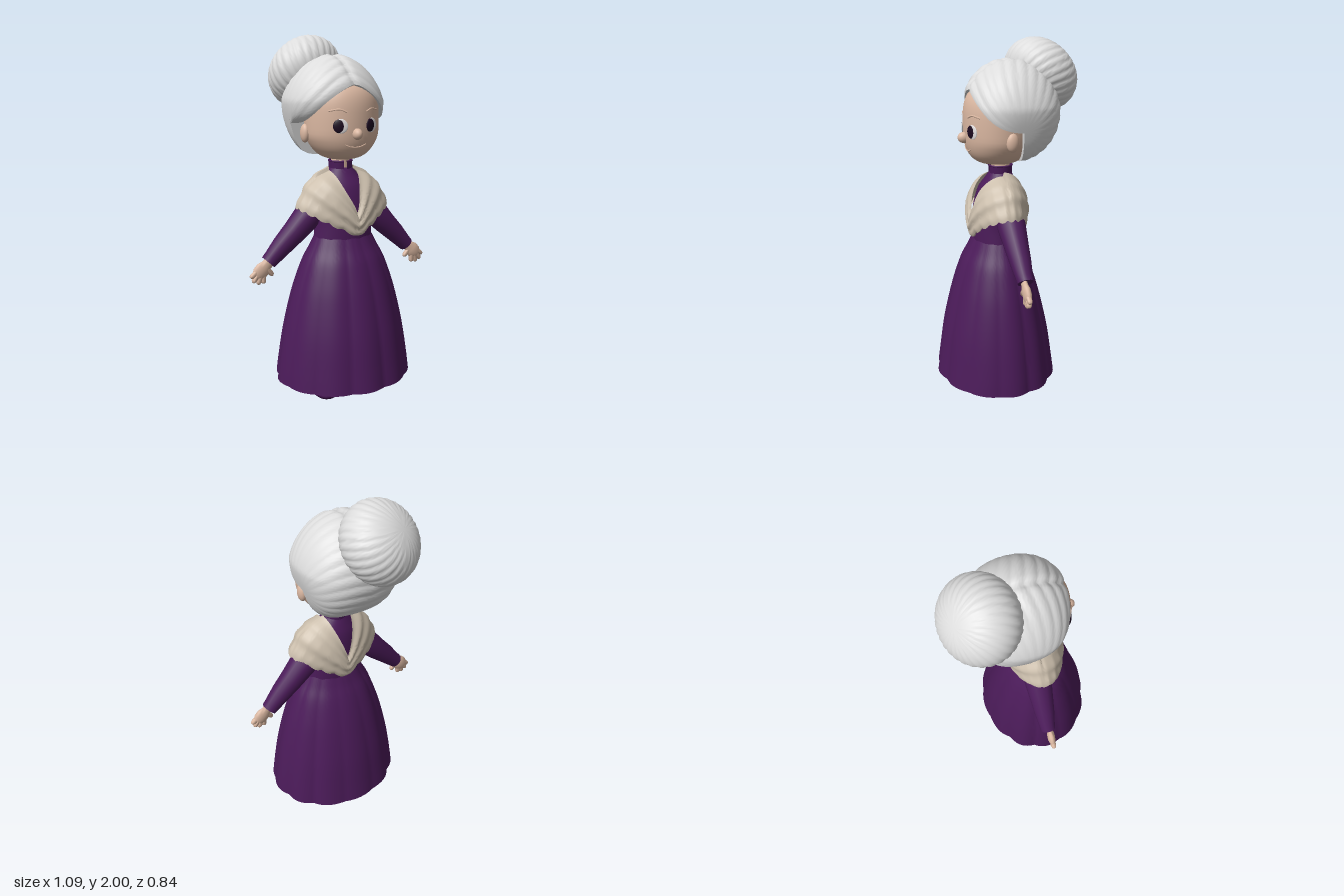
import * as THREE from 'three';
import { toCreasedNormals } from 'three/addons/utils/BufferGeometryUtils.js';

const { sin, cos, abs, pow, max, min, sqrt, exp, sign, PI } = Math;
const mat = (name, color, side = THREE.FrontSide) => {
  const m = new THREE.MeshStandardMaterial({ color, side });
  m.name = name;
  return m;
};
const V = (x, y, z) => new THREE.Vector3(x, y, z);
const lerp = THREE.MathUtils.lerp;

// Surface from cross-sections: fn(u, v) gives a point, u runs round, v runs along
function grid(nu, nv, fn, crease = 0.9) {
  const pos = [], idx = [];
  for (let j = 0; j <= nv; j++)
    for (let i = 0; i <= nu; i++) pos.push(...fn(i / nu, j / nv, j));
  for (let j = 0; j < nv; j++)
    for (let i = 0; i < nu; i++) {
      const a = j * (nu + 1) + i, b = a + nu + 1;
      idx.push(a, a + 1, b, a + 1, b + 1, b);
    }
  const g = new THREE.BufferGeometry();
  g.setAttribute('position', new THREE.Float32BufferAttribute(pos, 3));
  g.setIndex(idx);
  return toCreasedNormals(g, crease);
}

// Smooth interpolation down a list of rows [y, rx, rz, cz]
function profile(rows) {
  const n = rows.length - 1;
  const a = new THREE.CatmullRomCurve3(rows.map(r => V(r[0], r[1], r[2])));
  return t => {
    const p = a.getPoint(t), f = min(t * n, n - 1e-6), i = Math.floor(f);
    return [p.x, p.y, p.z, lerp(rows[i][3], rows[i + 1][3], f - i)];
  };
}

// Tapered limb through points [x, y, z, radius], flattened in z
function limb(pts, flat = 1) {
  const a = pts[0], b = pts[pts.length - 1];
  const t = V(b[0] - a[0], b[1] - a[1], 0).normalize();
  const rows = [[...a.slice(0, 3), 0], ...pts, [...b.slice(0, 3), 0]];
  return grid(16, rows.length - 1, (u, v, j) => {
    const [x, y, z, r] = rows[j], q = u * 2 * PI;
    return [x - t.y * r * cos(q), y + t.x * r * cos(q), z + r * flat * sin(q)];
  });
}

// Face: boxy egg, narrower at the chin
const faceWidth = yn => 0.205 * (1 - 0.25 * max(0, -yn - 0.4));
const facePoint = (u, v) => {
  const f = (v - 0.5) * PI, q = u * 2 * PI, r = pow(max(0, cos(f)), 0.65);
  const yn = sign(f) * pow(abs(sin(f)), 0.65);
  return [faceWidth(yn) * r * sin(q), 1.56 + 0.215 * yn, 0.06 + 0.185 * r * cos(q)];
};
const faceZ = (x, y) => {
  const yn = (y - 1.56) / 0.215, s = pow(abs(yn), 1 / 0.65);
  const r = pow(sqrt(1 - s * s), 0.65);
  return 0.06 + 0.185 * r * sqrt(1 - pow(x / (faceWidth(yn) * r), 2));
};

export function createModel() {
  const model = new THREE.Group();
  model.name = 'grandmother';
  const purple = mat('dressPurple', 0x4b1b59, THREE.DoubleSide);
  const plum = mat('shoePlum', 0x40104c);
  const cream = mat('shawlCream', 0xccbfad, THREE.DoubleSide);
  const skin = mat('skin', 0xdab7a1);
  const grey = mat('hairGrey', 0xdcdcdc, THREE.DoubleSide);
  const white = mat('eyeWhite', 0xe2dede);
  const dark = mat('eyeDark', 0x1c0a20);
  const add = (name, geo, m, p = [0, 0, 0], s = [1, 1, 1]) => {
    const mesh = new THREE.Mesh(geo, m);
    mesh.name = name;
    mesh.position.set(...p);
    mesh.scale.set(...s);
    model.add(mesh);
    return mesh;
  };
  const ball = new THREE.SphereGeometry(1, 24, 16);

  // Pleated skirt, closed underneath
  const skirt = profile([
    [0.115, 0.39, 0.336, 0.082], [0.2, 0.38, 0.324, 0.082], [0.4, 0.348, 0.294, 0.082],
    [0.6, 0.302, 0.248, 0.082], [0.7, 0.271, 0.219, 0.082], [0.8, 0.233, 0.183, 0.082],
    [0.87, 0.195, 0.148, 0.08], [0.93, 0.165, 0.122, 0.078]]);
  add('skirt', grid(144, 33, (u, v, j) => {
    if (j === 0) return [0, 0.13, 0.082];
    const t = (j - 1) / 32, [y, rx, rz, cz] = skirt(t), q = u * 2 * PI;
    const k = 1 + 0.024 * (1 - 0.5 * t) * (2 * abs(cos(q * 6)) - 1.2) * (0.7 + 0.3 * cos(q * 3));
    return [rx * k * sin(q), y, cz + rz * k * cos(q)];
  }), purple);

  // Bodice
  const bodice = profile([
    [0.915, 0.168, 0.125, 0.078], [1.0, 0.163, 0.128, 0.075], [1.1, 0.168, 0.125, 0.07],
    [1.2, 0.145, 0.108, 0.06], [1.26, 0.095, 0.08, 0.05], [1.3, 0.06, 0.058, 0.045]]);
  add('bodice', grid(48, 20, (u, v) => {
    const [y, rx, rz, cz] = bodice(v), q = u * 2 * PI;
    return [rx * sin(q), y, cz + rz * cos(q)];
  }), purple);

  // Neck and notched collar
  add('neck', new THREE.CylinderGeometry(0.05, 0.052, 0.16, 24), skin, [0, 1.34, 0.045]);
  add('collar', new THREE.CylinderGeometry(0.066, 0.062, 0.065, 32, 1, true, 0.14, 2 * PI - 0.28),
    purple, [0, 1.302, 0.045]);
  add('collarRim', new THREE.TorusGeometry(0.064, 0.005, 8, 40, 2 * PI - 0.28),
    purple, [0, 1.334, 0.045]).rotation.set(PI / 2, 0, PI / 2 + 0.14);

  // Draped shawl with a V neck front and back and a scalloped hem
  add('shawl', grid(144, 22, (u, v, j) => {
    const q = u * 2 * PI, s = sin(q), c = cos(q), w = abs(s);
    const t = max(0, (j - 1) / 21), front = c > 0;
    const tuck = j === 0 ? 0.94 : 1, scallop = 0.014 * abs(sin(q * 11)) * (1 - t) * (1 - t);
    const tip = 0.02 * pow(max(0, c), 10);
    const x = lerp(0.272, 0.075, t), y = lerp(0.945 + 0.155 * w, (front ? 1.07 : 1.09) + 0.215 * w, t);
    const z = lerp(0.068, 0.055, t) + c * (front ? lerp(0.154, 0.16, t) : lerp(0.145, 0.148, t));
    const b = sin(PI * t), fold = 0.004 * sin(t * 6 * PI);
    const out = 0.022 * b + fold;
    return [x * s * tuck + s * out + tip, y - scallop + b * 0.03 * w, (z - 0.06) * tuck + 0.06 + c * out];
  }), cream);

  for (const side of [1, -1]) {
    const tag = side > 0 ? 'left' : 'right';
    const pts = (list, z = 0.046) => list.map(([x, y, r]) => [x * side, y, z, r]);

    // Sleeve
    add(tag + 'Sleeve', limb(pts([[0.13, 1.12, 0.06], [0.165, 1.08, 0.074], [0.2, 1.04, 0.077],
      [0.28, 0.957, 0.066], [0.35, 0.89, 0.057], [0.41, 0.828, 0.046], [0.432, 0.806, 0.043]])), purple);

    // Hand with fingers and thumb
    add(tag + 'Palm', limb(pts([[0.42, 0.82, 0.03], [0.445, 0.795, 0.032], [0.465, 0.776, 0.043],
      [0.487, 0.753, 0.043], [0.502, 0.738, 0.032]], 0.055), 0.5), skin);
    const fingers = [[0.492, 0.772, 0.538, 0.735], [0.488, 0.758, 0.525, 0.708],
      [0.477, 0.75, 0.497, 0.694], [0.465, 0.75, 0.466, 0.696], [0.455, 0.785, 0.413, 0.735]];
    fingers.forEach(([x0, y0, x1, y1], i) => {
      const at = (t, r) => [lerp(x0, x1, t), lerp(y0, y1, t), r];
      add(tag + (i < 4 ? 'Finger' + (i + 1) : 'Thumb'),
        limb(pts([at(0, 0.015), at(0.8, 0.014), at(0.95, 0.011), at(1.03, 0.005)], 0.057)), skin);
    });

    // Leg and shoe with a flat sole
    add(tag + 'Leg', new THREE.CylinderGeometry(0.06, 0.064, 0.18, 24), plum, [0.113 * side, 0.12, 0.05]);
    add(tag + 'Shoe', grid(32, 16, (u, v) => {
      const f = (v - 0.5) * PI, q = u * 2 * PI, r = pow(max(0, cos(f)), 0.8);
      const zz = 0.118 * r * cos(q);
      return [side * (0.121 + 0.13 * zz) + 0.078 * r * sin(q),
        max(0, 0.022 + (0.048 - 0.1 * zz) * sin(f)), 0.095 + zz];
    }), plum);

    // Ear
    add(tag + 'Ear', ball, skin, [0.203 * side - 0.004, 1.49, 0.04], [0.024, 0.05, 0.034]);

    // Eye: thin white with a dark iris, both glancing the same way
    const eye = new THREE.Group();
    eye.name = tag + 'Eye';
    eye.position.set(0.09 * side, 1.537, faceZ(0.09, 1.537) + 0.001);
    eye.rotation.y = 0.41 * side;
    for (const [name, m, dx, sc] of [['White', white, 0.003, [0.038, 0.038, 0.006]],
      ['Iris', dark, -0.006, [0.031, 0.035, 0.009]]]) {
      const mesh = new THREE.Mesh(ball, m);
      mesh.name = tag + 'Eye' + name;
      mesh.position.x = dx;
      mesh.scale.set(...sc);
      eye.add(mesh);
    }
    model.add(eye);

    // Eyebrow ridge
    const brow = [[0.055, 1.608], [0.09, 1.622], [0.14, 1.614]];
    add(tag + 'Brow', new THREE.TubeGeometry(new THREE.CatmullRomCurve3(
      brow.map(([x, y]) => V(x * side, y, faceZ(x, y)))), 16, 0.005, 6), skin);
  }

  // Face, nose and smiling lip
  add('face', grid(48, 36, facePoint), skin);
  add('nose', ball, skin, [0, 1.495, 0.246], [0.026, 0.03, 0.036]);
  const smile = [-0.06, -0.03, 0, 0.03, 0.06].map(x => {
    const y = 1.424 + 4 * x * x;
    return V(x, y, faceZ(x, y));
  });
  add('mouth', new THREE.TubeGeometry(new THREE.CatmullRomCurve3(smile), 20, 0.004, 6), skin);

  // Combed hair: strands run ear to ear over a centre parting, narrowing towards the jaw
  const rows = 150;
  add('hair', grid(56, rows, (u, v, j) => {
    const b = (u - 0.5) * PI, sb = sin(b), e = abs(sb);
    const t = min(1, max(0, (j - 1) / (rows - 2)));
    const a = lerp(27 - 20 * e, 266, t) * PI / 180;
    const part = t < 0.5 ? 0.045 * exp(-pow(sb / 0.06, 2)) : 0;
    const strands = 0.022 * abs(sin(t * 17 * PI + 0.8 * e)) - 0.014;
    const edge = exp(-t / 0.05);
    const r = j === 0 || j === rows ? 0
      : pow(max(0, cos(b)), 0.68) * (1 + strands - part - 0.08 * edge * e);
    const y = 1.63 - 0.09 * sb * sb + 0.27 * r * sin(a);
    const narrow = (1 - max(0, 1.66 - y)) * (1 - 0.08 * edge);
    return [-0.02 + 0.02 * edge + 0.28 * sb * narrow, y, -0.015 + 0.265 * r * cos(a)];
  }), grey);

  // Bun: flattened ball with swirling strands, tilted back
  const bun = add('hairBun', grid(168, 24, (u, v) => {
    const f = (v - 0.5) * PI, q = u * 2 * PI, r = pow(max(0, cos(f)), 0.9);
    const k = 1 + (0.025 * abs(sin(q * 14)) - 0.014) * r, w = q + 0.3 * sin(f);
    return [0.215 * k * r * sin(w), 0.165 * k * sin(f), 0.215 * k * r * cos(w)];
  }), grey, [-0.095, 1.803, -0.216]);
  bun.quaternion.setFromUnitVectors(V(0, 1, 0), V(-0.3, 0.62, -0.72).normalize());
  return model;
}
